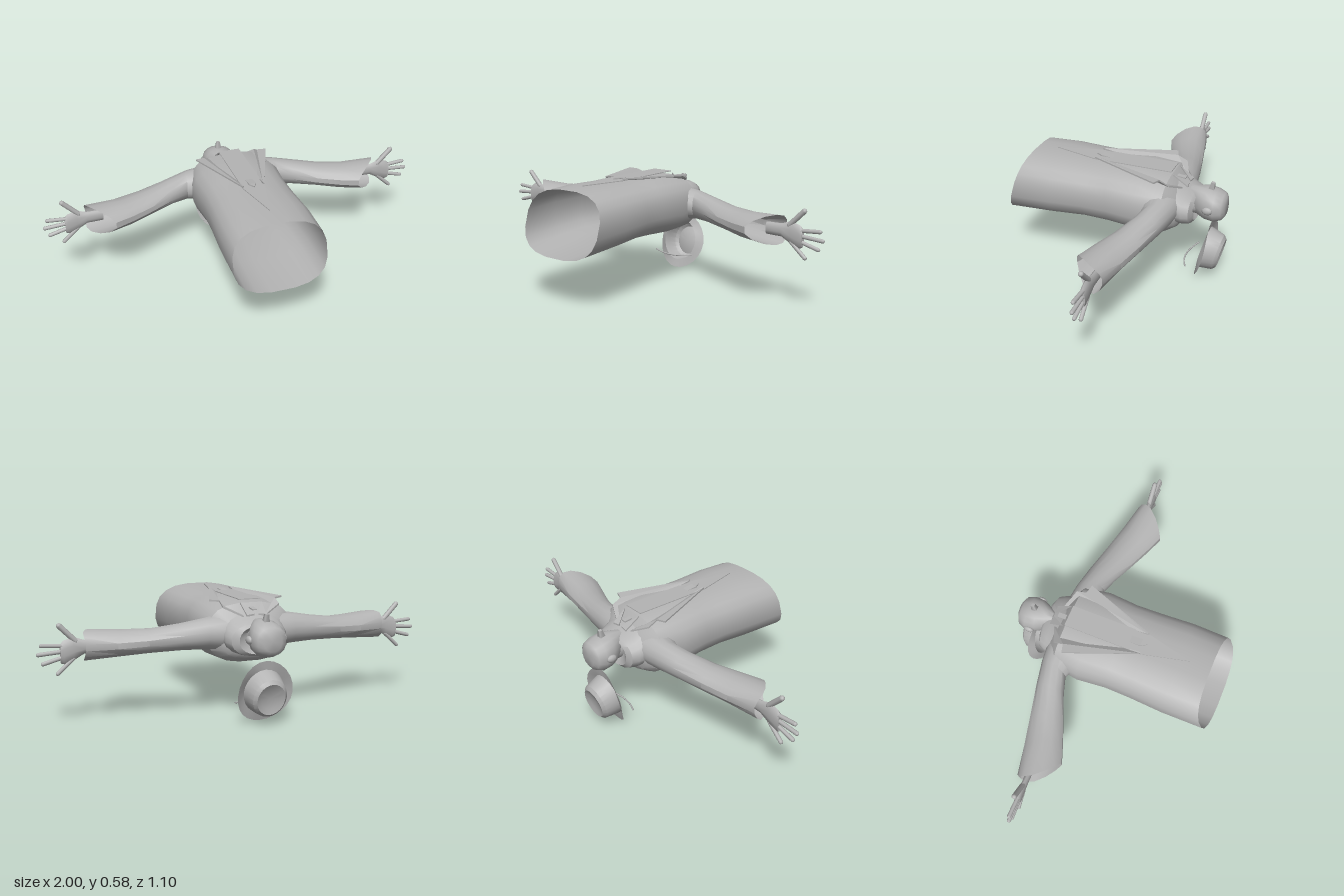
import * as THREE from 'three';
import { toCreasedNormals } from 'three/addons/utils/BufferGeometryUtils.js';

const grey = new THREE.MeshStandardMaterial({ color: 0xb4b4b4, side: THREE.DoubleSide });
grey.name = 'plain grey';

// Skin a list of rings; cap closes the chosen ends with a fan.
function loft(rings, { flip = false, capStart = false, capEnd = false, crease = 0.6 } = {}) {
  const n = rings[0].length, pos = [], idx = [];
  const tri = (a, b, c) => (flip ? idx.push(a, c, b) : idx.push(a, b, c));
  rings.forEach(r => r.forEach(p => pos.push(...p)));
  for (let i = 0; i < rings.length - 1; i++) {
    for (let j = 0; j < n; j++) {
      const a = i * n + j, b = i * n + (j + 1) % n;
      tri(a, b, b + n);
      tri(a, b + n, a + n);
    }
  }
  const cap = (i, end) => {
    const c = pos.length / 3;
    pos.push(...[0, 1, 2].map(k => rings[i].reduce((t, p) => t + p[k], 0) / n));
    for (let j = 0; j < n; j++) {
      const a = i * n + j, b = i * n + (j + 1) % n;
      end ? tri(a, b, c) : tri(b, a, c);
    }
  };
  if (capStart) cap(0, false);
  if (capEnd) cap(rings.length - 1, true);
  const g = new THREE.BufferGeometry();
  g.setAttribute('position', new THREE.Float32BufferAttribute(pos, 3));
  g.setIndex(idx);
  return toCreasedNormals(g, crease);
}

// Rounded-square ring across z: [z, half width, y low, y high, z at the low side]
function ringZ([z, rx, y0, y1, zLow = z], power = 2.7, n = 20) {
  const se = v => Math.sign(v) * Math.abs(v) ** (2 / power);
  return Array.from({ length: n }, (_, j) => {
    const a = ((j + 0.5) / n) * Math.PI * 2, v = se(Math.sin(a));
    return [rx * se(Math.cos(a)), (y0 + y1) / 2 + v * (y1 - y0) / 2, z + (zLow - z) * (1 - v) / 2];
  });
}

// Sleeve ring: back edge A, bend M and front edge B in xz, centre height and half height
function ringSleeve(s, [A, M, B, y, h], n = 14) {
  return Array.from({ length: n }, (_, j) => {
    const a = (j / n) * Math.PI * 2, t = (Math.sin(a) + 1) / 2;
    const q = k => A[k] * (1 - t) ** 2 + 2 * M[k] * t * (1 - t) + B[k] * t * t;
    return [s * q(0), y + h * Math.cos(a), q(1)];
  });
}

// Flat plate drawn in xz and lifted by a height rule
function plate(points, thickness, height) {
  const shape = new THREE.Shape(points.map(p => new THREE.Vector2(p[0], -p[1])));
  const g = new THREE.ExtrudeGeometry(shape, { depth: thickness, bevelEnabled: false }).rotateX(-Math.PI / 2);
  const p = g.attributes.position;
  for (let i = 0; i < p.count; i++) p.setY(i, p.getY(i) + height(p.getX(i), p.getZ(i)));
  g.computeVertexNormals();
  return g;
}

function add(parent, name, geometry) {
  const m = new THREE.Mesh(geometry, grey);
  m.name = name;
  parent.add(m);
  return m;
}

// Finger or thumb between two points
function finger(parent, name, from, to, r) {
  const a = new THREE.Vector3(...from), b = new THREE.Vector3(...to), d = b.clone().sub(a);
  const m = add(parent, name, new THREE.CapsuleGeometry(r, d.length(), 3, 8));
  m.position.copy(a).add(b).multiplyScalar(0.5);
  m.quaternion.setFromUnitVectors(new THREE.Vector3(0, 1, 0), d.normalize());
}

function arm(parent, s) {
  const side = new THREE.Group();
  side.name = s > 0 ? 'leftArm' : 'rightArm';
  parent.add(side);

  // Bell sleeve with a slanted open cuff
  const mid = (a, b) => [(a[0] + b[0]) / 2, (a[1] + b[1]) / 2];
  const rings = [
    [[0.13, -0.35], [0.19, -0.17], 0.41, 0.085],
    [[0.22, -0.34], [0.25, -0.2], 0.408, 0.075],
    [[0.34, -0.318], [0.33, -0.175], 0.398, 0.065],
    [[0.5, -0.283], [0.45, -0.125], 0.382, 0.058],
    [[0.64, -0.252], [0.56, -0.08], 0.374, 0.063],
  ].map(([A, B, y, h]) => ringSleeve(s, [A, mid(A, B), B, y, h]));
  rings.push(ringSleeve(s, [[0.78, -0.222], [0.82, -0.16], [0.65, -0.045], 0.372, 0.073]));
  add(side, 'sleeve', loft(rings, { flip: s < 0 }));

  // Flat hand with spread fingers
  const z = -0.175;
  const palm = [[0.70, 0.03, 0.37], [0.78, 0.032, 0.37], [0.83, 0.055, 0.365], [0.875, 0.055, 0.35], [0.89, 0.045, 0.345]]
    .map(([x, h, y]) => ringSleeve(s, [[x, z - 0.014], [x, z], [x, z + 0.014], y, h], 10));
  add(side, 'palm', loft(palm, { flip: s < 0, capStart: true, capEnd: true, crease: 1 }));
  [[0.82, 0.40, 0.892, 0.474, 0.013], [0.87, 0.38, 0.975, 0.388, 0.01], [0.875, 0.355, 0.99, 0.347, 0.01],
    [0.87, 0.33, 0.97, 0.303, 0.01], [0.83, 0.32, 0.905, 0.253, 0.01]]
    .forEach(([x0, y0, x1, y1, r], i) =>
      finger(side, i ? 'finger' : 'thumb', [s * x0, y0, z], [s * x1, y1, z], r));
}

export function createModel() {
  const model = new THREE.Group();
  model.name = 'lyingFigure';

  // Long robe, open at the slanted hem
  add(model, 'robe', loft([
    [-0.345, 0.13, 0.31, 0.46],
    [-0.33, 0.165, 0.285, 0.49],
    [-0.28, 0.215, 0.26, 0.548],
    [-0.15, 0.235, 0.258, 0.562],
    [0, 0.222, 0.266, 0.56],
    [0.13, 0.226, 0.272, 0.557],
    [0.3, 0.235, 0.26, 0.562],
    [0.455, 0.232, 0.245, 0.557, 0.547],
  ].map(r => ringZ(r)), { capStart: true }));

  // Puffed collar around the neck
  add(model, 'collar', loft([
    [-0.385, 0.06, 0.35, 0.445],
    [-0.408, 0.105, 0.318, 0.455],
    [-0.395, 0.14, 0.307, 0.467],
    [-0.36, 0.157, 0.303, 0.48],
    [-0.3, 0.165, 0.3, 0.52],
  ].map(r => ringZ(r, 2.2)), { capStart: true }));

  // Lapels, front panel and tie
  for (const s of [1, -1]) {
    const pts = [[0.055, -0.34], [0.145, -0.3], [0.145, -0.25], [0.19, -0.237], [0.055, 0.12], [0.05, 0.11]];
    add(model, 'lapel', plate(pts.map(p => [s * p[0], p[1]]), 0.008,
      (x, z) => 0.567 + Math.min(0, (z + 0.2) * 0.3) - Math.max(0, -z - 0.29) * 0.8));
    // Small raised collar flap beside the throat
    add(model, 'collarFlap', plate([[0.01, -0.36], [0.05, -0.365], [0.055, -0.29]].map(p => [s * p[0], p[1]]), 0.008,
      (x, z) => 0.545 + (z + 0.29) * 0.7));
  }
  add(model, 'frontPanel', plate([[-0.055, -0.28], [0.055, -0.28], [0.055, 0.12], [0, 0.35], [-0.055, 0.12]], 0.004,
    (x, z) => 0.561));
  add(model, 'tie', plate([[-0.012, -0.34], [0.012, -0.34], [0.018, 0.1], [0, 0.13], [-0.018, 0.1]], 0.006,
    (x, z) => 0.565 - Math.max(0, -z - 0.26) * 0.6));

  // Head, neck, nose and ears
  const neck = add(model, 'neck', new THREE.CylinderGeometry(0.052, 0.055, 0.12, 14).rotateX(Math.PI / 2));
  neck.position.set(0, 0.395, -0.37);
  add(model, 'head', loft([
    [-0.55, 0.045, 0.355, 0.452],
    [-0.537, 0.072, 0.335, 0.466],
    [-0.5, 0.086, 0.32, 0.481],
    [-0.45, 0.08, 0.325, 0.491],
    [-0.405, 0.055, 0.342, 0.489],
    [-0.37, 0.032, 0.38, 0.484],
  ].map(r => ringZ(r, 2.3, 16)), { capStart: true, capEnd: true, crease: 0.8 }));
  const nose = add(model, 'nose', new THREE.CylinderGeometry(0.012, 0.022, 0.05, 4).rotateY(Math.PI / 4));
  nose.position.set(0, 0.495, -0.472);
  nose.rotation.x = -0.2;
  for (const s of [1, -1]) {
    const ear = add(model, 'ear', new THREE.SphereGeometry(1, 10, 6));
    ear.scale.set(0.014, 0.02, 0.027);
    ear.position.set(s * 0.086, 0.403, -0.475);
    arm(model, s);
  }

  // Hat with a dented crown and a brim curled up at the sides
  const profile = [[0.155, 0], [0.112, 0.004], [0.107, 0.03], [0.095, 0.08], [0.078, 0.095], [0.052, 0.086], [0, 0.08]];
  const hat = new THREE.LatheGeometry(profile.map(p => new THREE.Vector2(...p)), 24);
  hat.scale(0.9, 1, 1);
  const p = hat.attributes.position;
  for (let i = 0; i < p.count; i++) {
    if (Math.hypot(p.getX(i) / 0.9, p.getZ(i)) > 0.13) p.setY(i, p.getY(i) + 0.03 * (p.getX(i) / 0.14) ** 2);
  }
  hat.rotateX(-(Math.PI / 2 + 0.229));
  add(model, 'hat', toCreasedNormals(hat, 0.6)).position.set(0, 0.15, -0.445);

  // Thin curved strip in front of the hat
  const bow = new THREE.QuadraticBezierCurve3(
    new THREE.Vector3(-0.12, 0.09, -0.388), new THREE.Vector3(0, 0.075, -0.325), new THREE.Vector3(0.12, 0.09, -0.388));
  add(model, 'strip', new THREE.TubeGeometry(bow, 14, 0.004, 6));

  return model;
}
